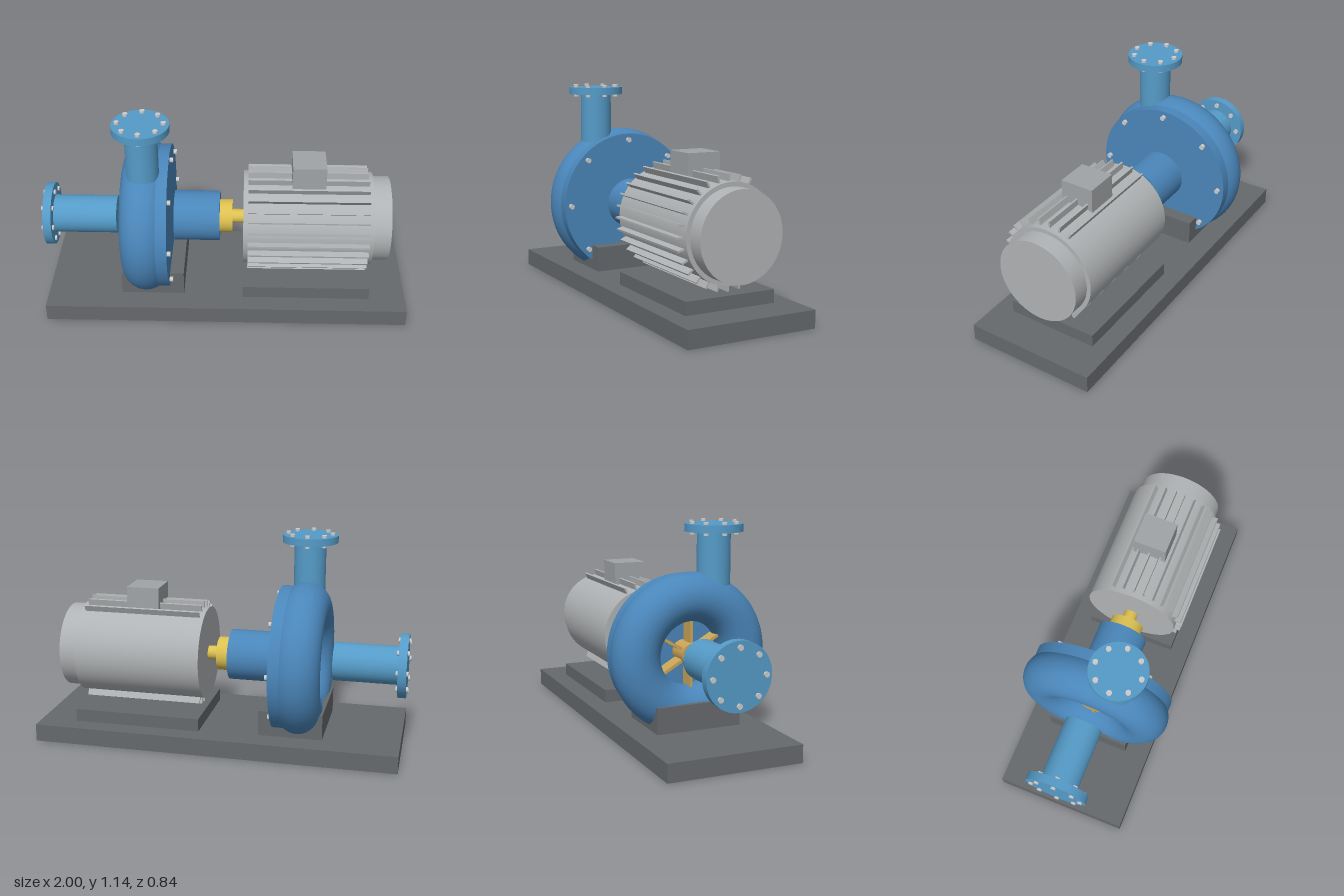
import * as THREE from 'three';

const mat = (color) => new THREE.MeshStandardMaterial({ color });
const casingBlue = mat(0x4a86ba), pipeBlue = mat(0x559bc8), steel = mat(0xb0b3b5);
const boltSteel = mat(0xcccccc), baseGrey = mat(0x66696c), brass = mat(0xdcc050), bronze = mat(0xcca558);
const AXIS = 0.468; // height of the shaft line
const PUMP = -0.432; // x of the pump casing

export function createModel() {
  const model = new THREE.Group();

  const add = (name, geometry, material, x = 0, y = 0, z = 0, parent = model) => {
    const mesh = new THREE.Mesh(geometry, material);
    mesh.name = name;
    mesh.position.set(x, y, z);
    parent.add(mesh);
    return mesh;
  };
  // box given by its limits in x and y, and its half depth
  const block = (name, x0, x1, y0, y1, halfZ, material) =>
    add(name, new THREE.BoxGeometry(x1 - x0, y1 - y0, halfZ * 2), material, (x0 + x1) / 2, (y0 + y1) / 2);
  // cylinder along the shaft line
  const drum = (name, x0, x1, r, material, sides = 64) =>
    add(name, new THREE.CylinderGeometry(r, r, x1 - x0, sides).rotateZ(-Math.PI / 2), material, (x0 + x1) / 2, AXIS);
  // ring of eight bolts around the local y axis
  const boltRing = (name, radius, length, parent) => {
    const ring = new THREE.Group();
    ring.name = name;
    for (let i = 0; i < 8; i++) {
      const a = (i * Math.PI) / 4;
      add('bolt', new THREE.CylinderGeometry(0.014, 0.014, length, 16), boltSteel,
        radius * Math.cos(a), 0, radius * Math.sin(a), ring);
    }
    parent.add(ring);
    return ring;
  };
  // bolted flange, its axis along local y
  const flange = (name, r, thickness, boltRadius, boltLength) => {
    const group = new THREE.Group();
    group.name = name;
    add('flangePlate', new THREE.CylinderGeometry(r, r, thickness, 64), pipeBlue, 0, 0, 0, group);
    boltRing('flangeBolts', boltRadius, boltLength, group);
    model.add(group);
    return group;
  };

  // Base and feet
  block('basePlate', -0.98, 1.0, 0, 0.095, 0.36, baseGrey);
  block('pumpFoot', -0.57, -0.225, 0.095, 0.233, 0.23, baseGrey);
  block('motorFoot', 0.1, 0.8, 0.095, 0.165, 0.255, baseGrey);

  // Pump casing with bolted cover
  add('volute', new THREE.TorusGeometry(0.292, 0.126, 40, 96).rotateY(Math.PI / 2), casingBlue, PUMP, AXIS);
  drum('casingCover', -0.37, -0.3, 0.395, casingBlue, 96);
  const coverBolts = boltRing('coverBolts', 0.36, 0.03, model);
  coverBolts.rotation.z = -Math.PI / 2;
  coverBolts.position.set(-0.296, AXIS, 0);

  // Impeller
  drum('impellerHub', -0.49, -0.37, 0.06, bronze, 24);
  for (let i = 0; i < 6; i++) {
    const pivot = new THREE.Group();
    pivot.name = 'impellerBlade';
    pivot.position.set(PUMP, AXIS, 0);
    pivot.rotation.x = (i * Math.PI) / 3;
    add('blade', new THREE.BoxGeometry(0.08, 0.14, 0.016), bronze, 0, 0.115, 0, pivot);
    model.add(pivot);
  }

  // Discharge pipe and flange
  add('dischargePipe', new THREE.CylinderGeometry(0.086, 0.086, 0.28, 64), pipeBlue, PUMP, 0.955, 0.14);
  flange('dischargeFlange', 0.15, 0.04, 0.12, 0.066).position.set(PUMP, 1.108, 0.14);

  // Suction pipe and flange
  drum('suctionPipe', -0.95, -0.597, 0.104, pipeBlue);
  const suction = flange('suctionFlange', 0.172, 0.045, 0.14, 0.066);
  suction.rotation.z = Math.PI / 2;
  suction.position.set(-0.967, AXIS, 0);

  // Bearing housing, coupling and shaft
  drum('bearingHousing', -0.28, -0.03, 0.138, casingBlue);
  drum('coupling', -0.03, 0.04, 0.092, brass);
  drum('motorShaft', 0.04, 0.1, 0.038, brass, 32);

  // Motor
  drum('motorBody', 0.1, 0.8, 0.255, steel, 96);
  drum('motorEndBell', 0.8, 0.893, 0.232, steel, 96);
  const box = block('terminalBox', 0.36, 0.54, 0.7, 0.838, 0.092, steel);
  box.material = mat(0xa0a4a7);

  // Cooling fins, from just behind the top round the front to just behind the bottom
  for (let i = -2; i <= 16; i++) {
    const a = (i * Math.PI) / 14;
    const fin = add('coolingFin', new THREE.BoxGeometry(0.65, 0.045, 0.01), steel,
      0.45, AXIS + 0.268 * Math.cos(a), 0.268 * Math.sin(a));
    fin.rotation.x = a;
  }
  return model;
}
